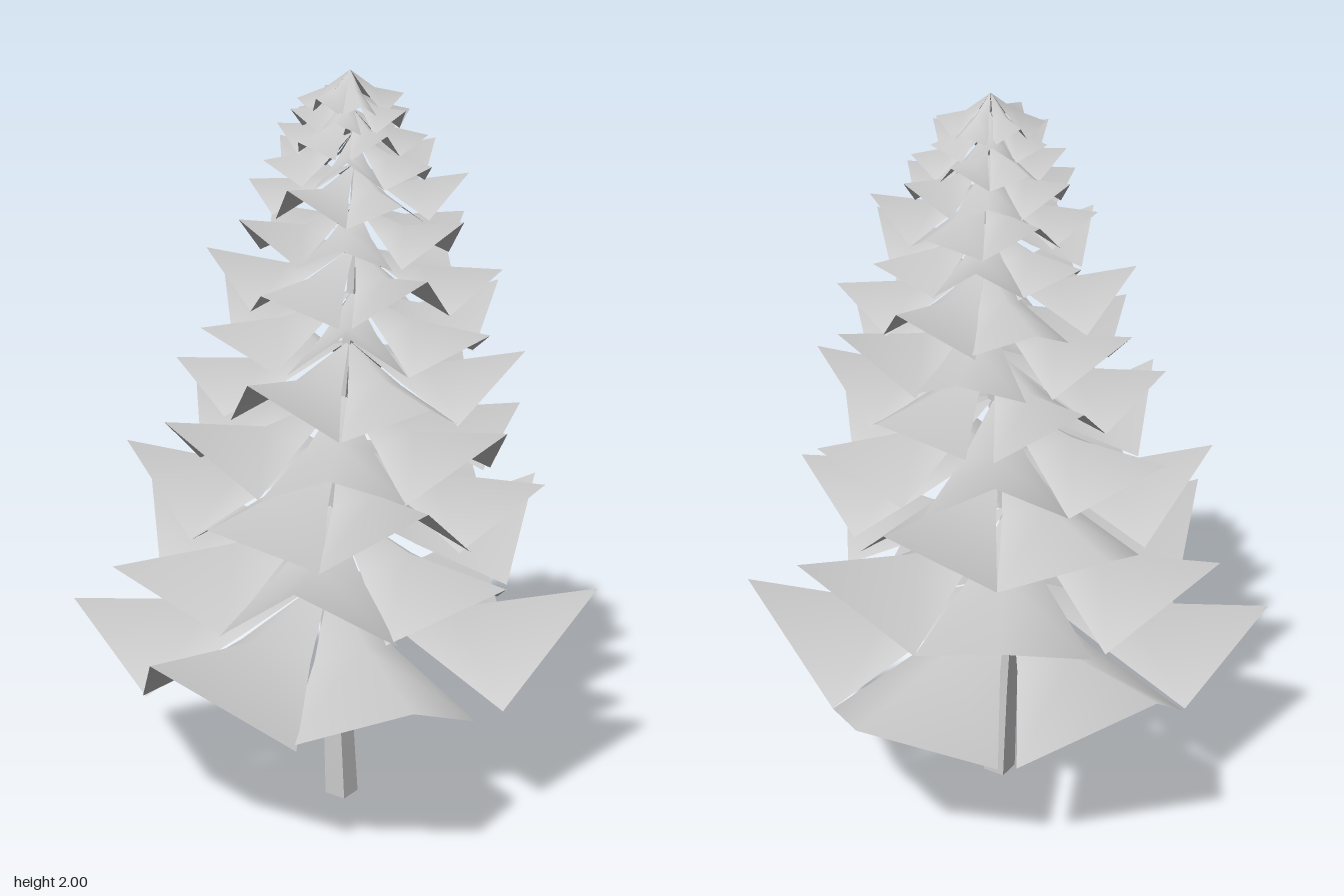
import * as THREE from 'three';

const material = new THREE.MeshStandardMaterial({ color: 0xcccccc, side: THREE.DoubleSide });

// Centre line of the slightly bent trunk: x and z by height
const bend = new THREE.CatmullRomCurve3([
  [0.04, 0, -0.005], [0.025, 0.3, -0.004], [0.005, 0.62, -0.004], [0.012, 0.86, 0.004], [0.04, 1.05, 0.005],
  [0.062, 1.3, -0.002], [0.06, 1.55, -0.03], [0.05, 1.85, -0.035], [0.04, 2, -0.035],
].map((p) => new THREE.Vector3(...p)));

function centreAt(y) {
  let lo = 0, hi = 1;
  for (let i = 0; i < 30; i++) {
    const mid = (lo + hi) / 2;
    if (bend.getPoint(mid).y < y) lo = mid; else hi = mid;
  }
  return bend.getPoint(lo);
}

// Square tapering trunk that follows the bend
function makeTrunk() {
  const height = 1.98;
  const geometry = new THREE.BoxGeometry(0.064, height, 0.064, 1, 14, 1);
  geometry.translate(0, height / 2, 0);
  const pos = geometry.attributes.position;
  for (let i = 0; i < pos.count; i++) {
    const y = pos.getY(i);
    const taper = 1 - 0.9 * (y / height);
    const c = centreAt(y);
    pos.setXYZ(i, pos.getX(i) * taper + c.x, y, pos.getZ(i) * taper + c.z);
  }
  geometry.computeVertexNormals();
  const mesh = new THREE.Mesh(geometry, material);
  mesh.name = 'trunk';
  return mesh;
}

// Folded kite: root, sagging ridge, tip, two low side corners and two waist points
function leafGeometry(r, tipDrop, midDrop, cornerDrop) {
  const geometry = new THREE.BufferGeometry();
  geometry.setAttribute('position', new THREE.Float32BufferAttribute([
    0, 0, 0,
    0.45 * r, -midDrop * r, 0,
    r, -tipDrop * r, 0,
    0.66 * r, -cornerDrop * r, 0.365 * r,
    0.66 * r, -cornerDrop * r, -0.365 * r,
    0.33 * r, -0.54 * cornerDrop * r, 0.165 * r,
    0.33 * r, -0.54 * cornerDrop * r, -0.165 * r,
  ], 3));
  geometry.setIndex([0, 5, 1, 5, 3, 1, 1, 3, 2, 0, 1, 6, 6, 1, 4, 1, 2, 4]);
  geometry.computeVertexNormals();
  return geometry;
}

// Tiers from the bottom up: root height, reach, extra droop
const tiers = [
  [0.645, 0.717, 0], [0.86, 0.625, 0], [1.035, 0.57, 0], [1.17, 0.51, 0], [1.31, 0.455, 0],
  [1.44, 0.415, 0], [1.555, 0.383, 0.01], [1.665, 0.322, 0.02], [1.765, 0.293, 0.05],
  [1.845, 0.242, 0.12], [1.905, 0.192, 0.2], [1.955, 0.162, 0.25], [2.0, 0.135, 0.4],
];

// Small irregularity of the six leaves: turn in degrees and relative reach
const leaves = [[1, 1], [-2, 0.99], [-3, 0.99], [0, 1], [-2, 1], [6, 0.96]];

export function createModel() {
  const tree = new THREE.Group();
  tree.name = 'coniferTree';
  tree.add(makeTrunk());

  tiers.forEach(([y, reach, droop], t) => {
    const tier = new THREE.Group();
    tier.name = `branchTier${t + 1}`;
    const c = centreAt(y);
    tier.position.set(c.x, y, c.z);
    // Raised and lowered leaves alternate around the tier
    const kinds = [0.02, 0.135].map((drop) =>
      leafGeometry(reach, drop + droop, 0.12 + droop * 0.5, 0.365 + droop));
    leaves.forEach(([turn, scale], i) => {
      const leaf = new THREE.Mesh(kinds[i % 2], material);
      leaf.name = 'leaf';
      leaf.scale.set(scale, 1, scale);
      leaf.rotation.y = -THREE.MathUtils.degToRad(91 - 30 * t + 60 * i + turn * (1 + 0.06 * t));
      tier.add(leaf);
    });
    tree.add(tier);
  });
  return tree;
}
